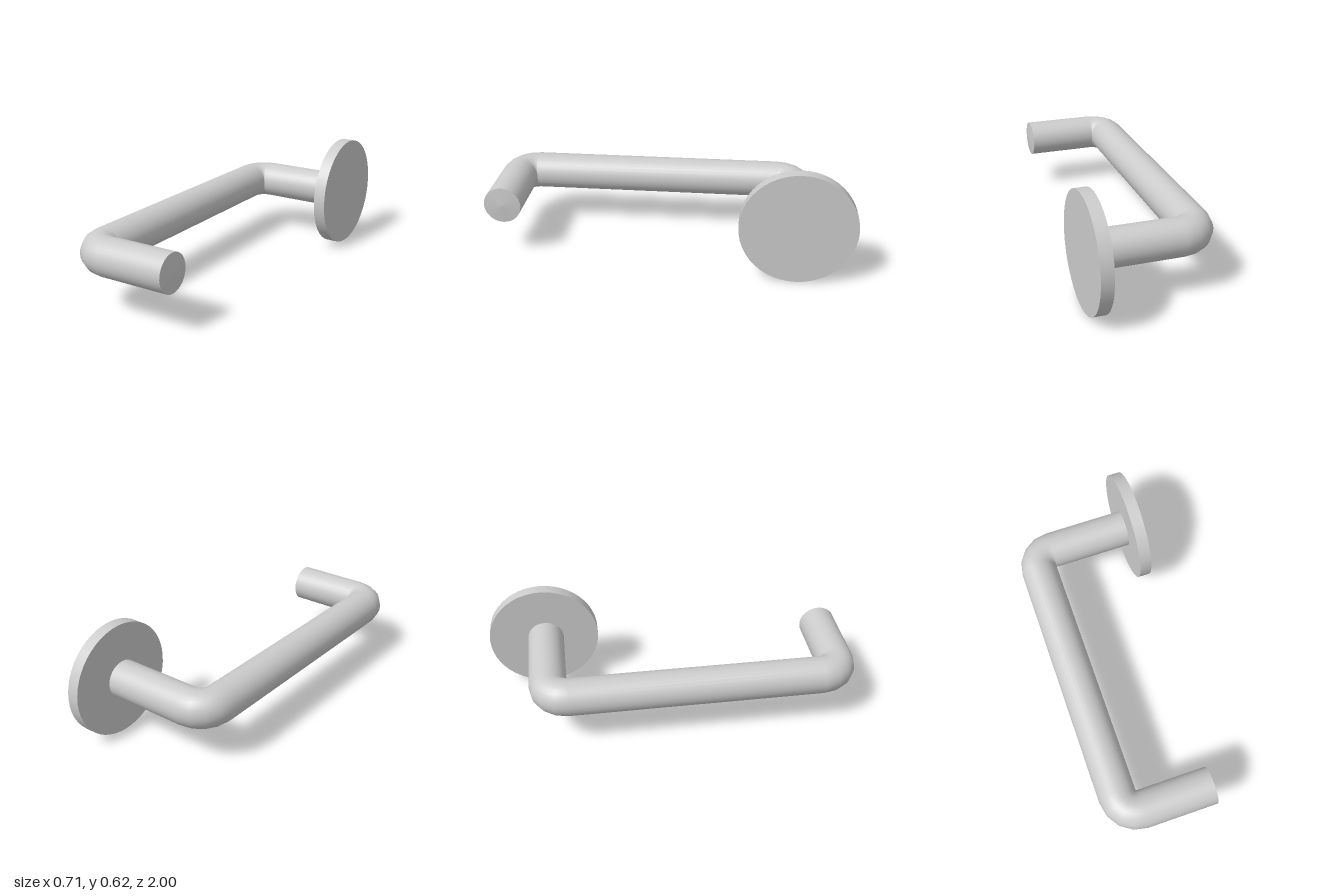
import * as THREE from 'three';

const R = 0.101;      // rod radius
const Y = 0.31;       // height of the rod axis
const BAR_X = -0.256; // axis of the long bar
const FRONT_Z = 0.897;
const REAR_Z = -0.683;
const END_X = 0.229;  // free end of the front arm
const PLATE_X = 0.291; // inner face of the plate

// Skin a list of circular rings; each has a centre (x, z) and an outward angle in the xz plane
function loftRod(rings, sides) {
  const pos = [], idx = [];
  rings.forEach(({ x, z, a }, i) => {
    for (let j = 0; j < sides; j++) {
      const t = (j / sides) * Math.PI * 2;
      const out = R * Math.cos(t);
      pos.push(x + out * Math.cos(a), Y + R * Math.sin(t), z + out * Math.sin(a));
      if (i === rings.length - 1) continue;
      const p = i * sides + j, q = i * sides + (j + 1) % sides;
      idx.push(p, q, p + sides, q, q + sides, p + sides);
    }
  });
  const geo = new THREE.BufferGeometry();
  geo.setAttribute('position', new THREE.Float32BufferAttribute(pos, 3));
  geo.setIndex(idx);
  geo.computeVertexNormals();
  return geo;
}

// Rings of a quarter bend turning tightly around its inner corner
function bend(axisZ, startAngle, side) {
  const steps = 4, turn = R + 0.001;
  return Array.from({ length: steps + 1 }, (_, i) => {
    const a = startAngle + (i / steps) * Math.PI / 2;
    return {
      x: BAR_X + turn + turn * Math.cos(a),
      z: axisZ - side * turn + turn * Math.sin(a),
      a,
    };
  });
}

export function createModel() {
  const group = new THREE.Group();
  const material = new THREE.MeshStandardMaterial({ color: 0xcccccc });
  const add = (name, geo, x, y, z) => {
    const mesh = new THREE.Mesh(geo, material);
    mesh.name = name;
    mesh.position.set(x, y, z);
    group.add(mesh);
  };

  // Bent rod: front arm, long bar, rear arm
  const rings = [
    { x: END_X, z: FRONT_Z, a: Math.PI / 2 },
    ...bend(FRONT_Z, Math.PI / 2, 1),
    ...bend(REAR_Z, Math.PI, -1),
    { x: PLATE_X + 0.01, z: REAR_Z, a: Math.PI * 1.5 },
  ];
  add('handleRod', loftRod(rings, 32), 0, 0, 0);

  // Shallow pointed cap on the free end
  const cap = new THREE.ConeGeometry(R, 0.009, 32, 1, true).rotateZ(-Math.PI / 2);
  add('endCap', cap, END_X + 0.0045, Y, FRONT_Z);

  // Round mounting plate
  const plate = new THREE.CylinderGeometry(0.308, 0.308, 0.066, 48).rotateZ(Math.PI / 2);
  add('mountingPlate', plate, PLATE_X + 0.033, Y, -0.692);

  return group;
}
